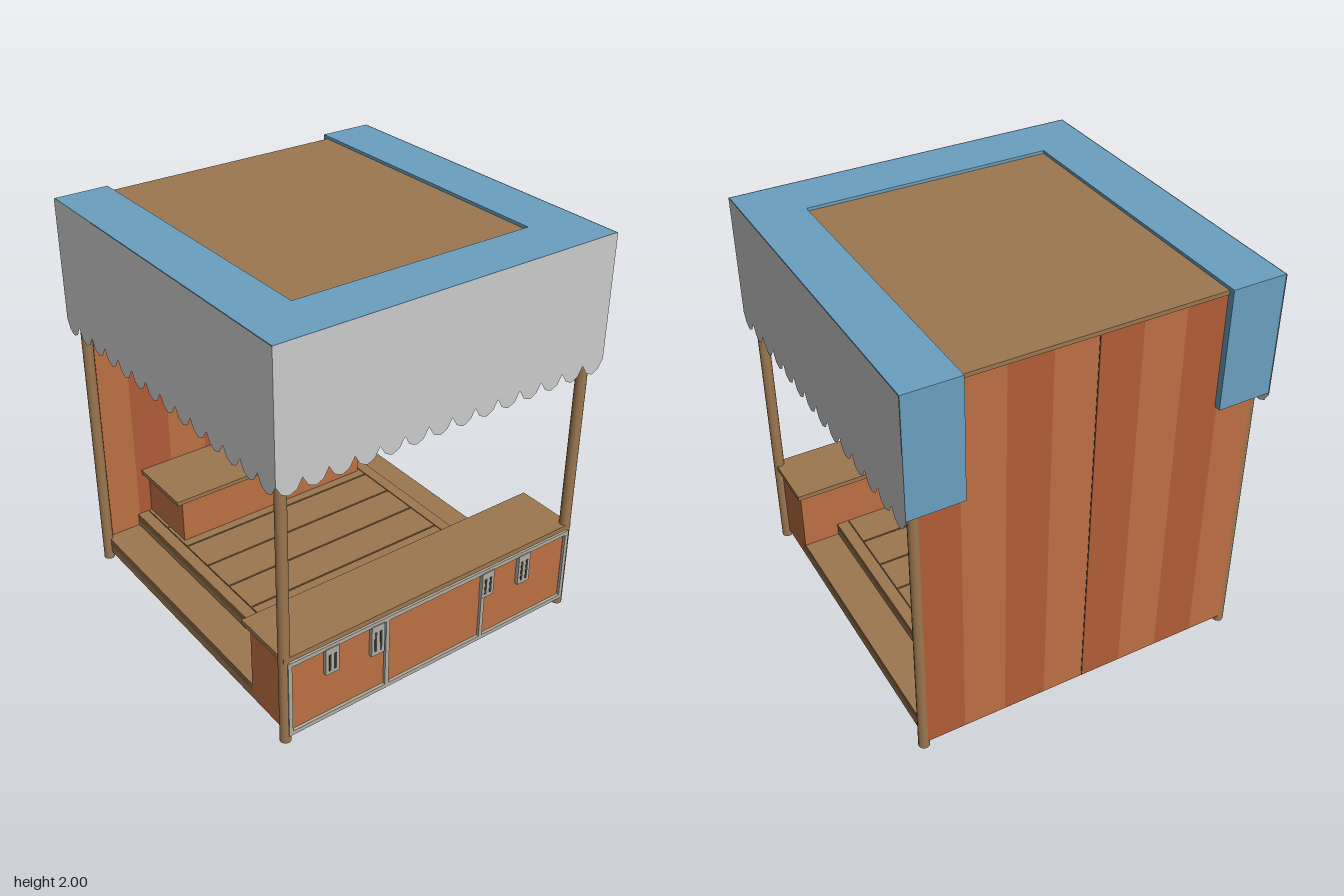
import * as THREE from 'three';

const paint = (color, side = THREE.FrontSide) => new THREE.MeshStandardMaterial({ color, side });

export function createModel() {
  const stall = new THREE.Group();
  const wood = paint(0x9c7750), darkWood = paint(0x836240), string = paint(0x4a3020);
  const rust = paint(0xbc7043), darkRust = paint(0xb05c37), blue = paint(0x6a9fbf);
  const metal = paint(0xb0aca2), slotDark = paint(0x403c38);
  const cloth = paint(0xcccccc, THREE.DoubleSide);

  const add = (name, geometry, material, parent = stall) => {
    const mesh = new THREE.Mesh(geometry, material);
    mesh.name = name;
    parent.add(mesh);
    return mesh;
  };
  // Box given by its limits on each axis
  const box = (name, material, [x0, x1], [y0, y1], [z0, z1], parent) => {
    const mesh = add(name, new THREE.BoxGeometry(x1 - x0, y1 - y0, z1 - z0), material, parent);
    mesh.position.set((x0 + x1) / 2, (y0 + y1) / 2, (z0 + z1) / 2);
    return mesh;
  };

  // Corner posts
  for (const x of [-0.825, 0.825]) for (const z of [-0.825, 0.825]) {
    add('post', new THREE.CylinderGeometry(0.027, 0.027, 1.45, 16), wood).position.set(x, 0.725, z);
  }

  // Two-level floor: low step on both sides, raised deck of planks in the middle
  box('stepBase', wood, [-0.82, 0.82], [0.04, 0.08], [-0.83, 0.6]);
  box('stepEdge', darkWood, [-0.82, 0.82], [0.08, 0.115], [-0.83, 0.6]);
  box('deckBase', wood, [-0.635, 0.635], [0.115, 0.15], [-0.83, 0.6]);
  box('deckEdge', darkWood, [-0.635, 0.635], [0.15, 0.18], [-0.83, 0.6]);
  for (const s of [-1, 1]) {
    box('stepTread', wood, [s * 0.7275 - 0.0925, s * 0.7275 + 0.0925], [0.115, 0.119], [-0.83, 0.57]);
    box('deckBorder', wood, [s * 0.605 - 0.03, s * 0.605 + 0.03], [0.18, 0.186], [-0.83, 0.57]);
  }
  const planks = 7, plankDepth = 1.4 / planks;
  for (let i = 0; i < planks; i++) {
    const z = -0.83 + i * plankDepth;
    box('floorPlank', wood, [-0.57, 0.57], [0.18, 0.186], [z, z + plankDepth - 0.008]);
  }

  // Striped back wall
  for (let i = 0; i < 8; i++) {
    const x = -0.835 + i * 0.20875;
    box('wallStripe', i % 2 ? darkRust : rust, [x, x + 0.20875], [0.04, 1.975], [-0.85, -0.83]);
  }
  box('wallSeam', string, [-0.003, 0.003], [0.04, 1.97], [-0.852, -0.849]);

  // Front counter
  const counter = new THREE.Group();
  counter.name = 'frontCounter';
  stall.add(counter);
  box('counterBody', rust, [-0.82, 0.82], [0.04, 0.455], [0.555, 0.8], counter);
  box('counterFront', rust, [-0.805, 0.805], [0.045, 0.45], [0.8, 0.842], counter);
  box('counterTop', wood, [-0.842, 0.842], [0.455, 0.48], [0.52, 0.848], counter);
  for (const y of [0.04, 0.43]) {
    box('frameRail', metal, [-0.825, 0.825], [y, y + 0.022], [0.835, 0.857], counter);
  }
  for (const x of [-0.815, -0.287, 0.282, 0.815]) {
    box('frameUpright', metal, [x - 0.01, x + 0.01], [0.05, 0.445], [0.835, 0.857], counter);
  }

  // Slotted latches hanging from the upper rail
  for (const [x, bottom] of [[-0.595, 0.293], [-0.345, 0.27], [0.305, 0.293], [0.535, 0.27]]) {
    const latch = new THREE.Group();
    latch.name = 'latch';
    counter.add(latch);
    box('latchPlate', metal, [x - 0.036, x + 0.036], [bottom, 0.435], [0.842, 0.862], latch);
    for (const dx of [-0.015, 0.015]) {
      box('latchSlot', slotDark, [x + dx - 0.006, x + dx + 0.006], [bottom + 0.02, 0.4], [0.855, 0.864], latch);
    }
  }

  // Rear bench
  box('benchBody', rust, [-0.555, 0.555], [0.185, 0.43], [-0.83, -0.485]);
  box('benchTop', wood, [-0.595, 0.595], [0.428, 0.45], [-0.83, -0.46]);

  // U-shaped canopy, open at the back, with a sunken roof panel
  const outer = 0.883, inner = 0.617;
  const u = new THREE.Shape([
    [-outer, outer], [-outer, -outer], [outer, -outer], [outer, outer],
    [inner, outer], [inner, -inner], [-inner, -inner], [-inner, outer],
  ].map(([x, y]) => new THREE.Vector2(x, y)));
  const canopy = new THREE.ExtrudeGeometry(u, { depth: 0.6, bevelEnabled: false });
  canopy.rotateX(-Math.PI / 2);
  add('canopy', canopy, blue).position.y = 1.4;
  box('roofPanel', wood, [-0.62, 0.62], [1.965, 1.985], [-0.855, 0.62]);

  // Scalloped cloth on the front and both sides
  const half = 0.886, scallops = 14, step = 2 * half / scallops;
  const valance = new THREE.Shape();
  valance.moveTo(-half, 2);
  for (let i = 0; i < scallops; i++) {
    for (const [t, y] of [[0, 1.392], [0.2, 1.348], [0.36, 1.337], [0.5, 1.33], [0.64, 1.337], [0.8, 1.348]]) {
      valance.lineTo(-half + (i + t) * step, y);
    }
  }
  valance.lineTo(half, 1.392);
  valance.lineTo(half, 2);
  const clothGeometry = new THREE.ShapeGeometry(valance);
  for (const turn of [-1, 0, 1]) {
    const sheet = add('valance', clothGeometry, cloth);
    sheet.rotation.y = turn * Math.PI / 2;
    sheet.position.set(turn * half, 0, turn ? 0 : half);
  }

  // Hanging lanterns
  const colors = [0xc8ab35, 0x7ba45f, 0xc4709b, 0x66a3cb, 0xc97b50, 0xc8ab35];
  colors.forEach((color, i) => {
    const lantern = new THREE.Group();
    lantern.name = 'lantern';
    lantern.position.set(-0.64 + i * 0.255, i % 2 ? 1.26 : 1.28, 0.64);
    stall.add(lantern);
    add('lanternBall', new THREE.SphereGeometry(0.051, 20, 14), paint(color), lantern);
    add('lanternString', new THREE.CylinderGeometry(0.005, 0.005, 0.15, 6), string, lantern).position.y = 0.085;
  });

  return stall;
}
